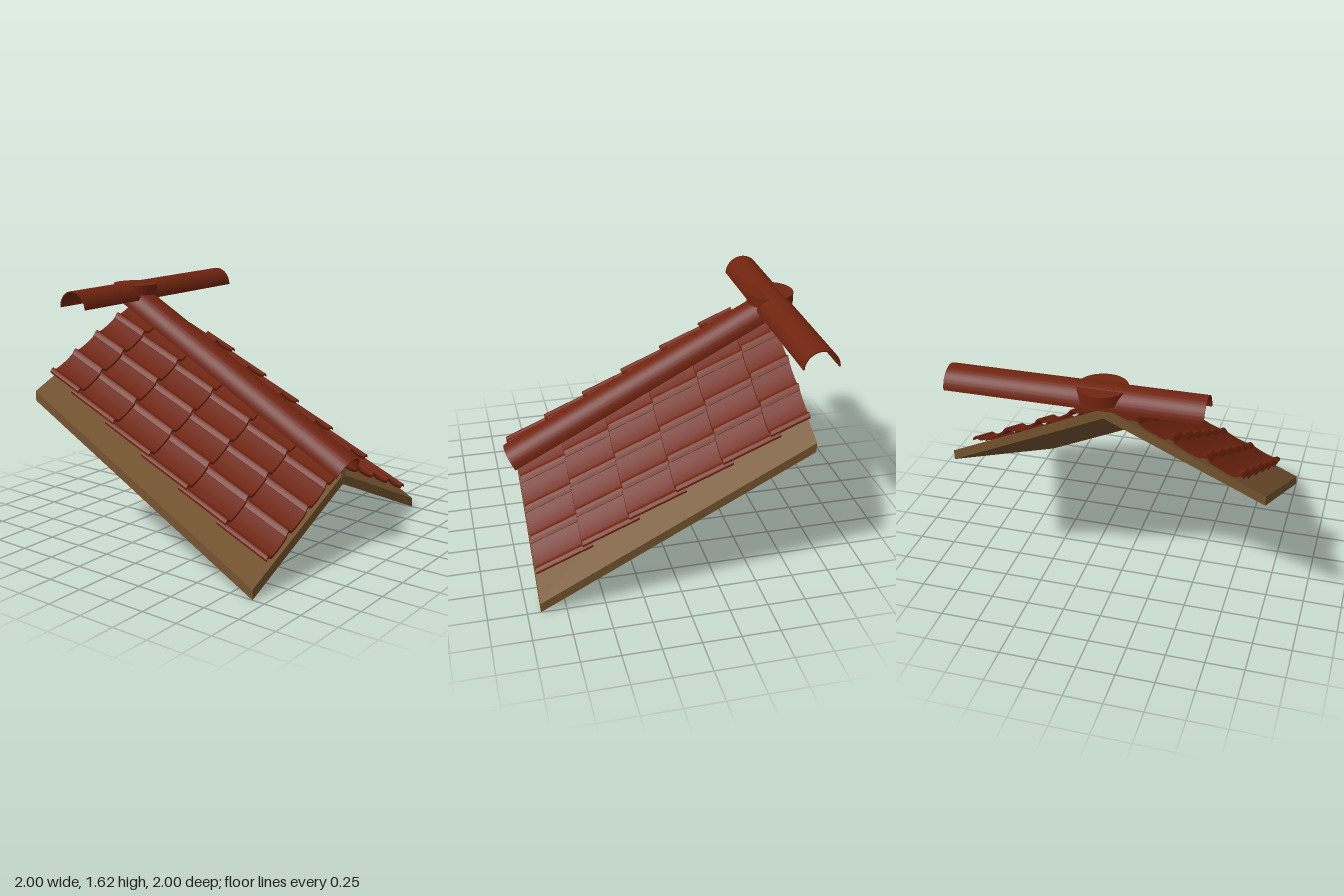
import * as THREE from 'three';
import { toCreasedNormals } from 'three/addons/utils/BufferGeometryUtils.js';

const FRONT = 0.915, BACK = -0.845; // deck extent along z
const RISE = 0.533;                 // climb from front to back
const FALL = 0.445;                 // drop from ridge to eaves
const PEAK = 0.51;                  // deck top at the front of the ridge

const tileRed = new THREE.MeshStandardMaterial({ color: 0x70240f });
tileRed.name = 'tileRed';
tileRed.side = THREE.DoubleSide;
const deckWood = new THREE.MeshStandardMaterial({ color: 0x75542f });
deckWood.name = 'deckWood';
const battenWood = new THREE.MeshStandardMaterial({ color: 0x7a6844 });
battenWood.name = 'battenWood';

function add(parent, name, geometry, material) {
  const mesh = new THREE.Mesh(geometry, material);
  mesh.name = name;
  parent.add(mesh);
  return mesh;
}

// Extrude a section backwards from zFront, climbing at the given slope
function slopedExtrude(points, zFront, length, slope) {
  const shape = new THREE.Shape(points.map(([x, y]) => new THREE.Vector2(x, y)));
  const geo = new THREE.ExtrudeGeometry(shape, { depth: length, bevelEnabled: false });
  geo.translate(0, 0, zFront - length);
  const p = geo.attributes.position;
  for (let i = 0; i < p.count; i++) p.setY(i, p.getY(i) + slope * (zFront - p.getZ(i)));
  return toCreasedNormals(geo, 0.6);
}

// Thin half-round shell, extruded along local -z
function halfPipe(radius, wall, length) {
  const shape = new THREE.Shape();
  shape.absarc(0, 0, radius, 0, Math.PI, false);
  shape.absarc(0, 0, radius - wall, Math.PI, 0, true);
  const geo = new THREE.ExtrudeGeometry(shape, { depth: length, bevelEnabled: false, curveSegments: 24 });
  geo.translate(0, 0, -length);
  return toCreasedNormals(geo, 0.6);
}

// Closed section of one tile: shallow pan with a roll at its outer edge
const TILE_W = 0.215, TILE_T = 0.015;
function tileSection(column, side) {
  const width = TILE_W + (column < 3 ? 0.012 : 0);
  const top = [], bottom = [], steps = 22;
  for (let i = 0; i <= steps; i++) {
    const u = (i / steps) * width;
    const d = (u - (TILE_W - 0.018)) / 0.036;
    const roll = Math.abs(d) < 1 ? 0.022 * Math.cos(d * Math.PI / 2) ** 2 : 0;
    const pan = -0.011 * Math.max(0, Math.sin(Math.PI * u / TILE_W));
    const x = column * TILE_W + u;
    const y = PEAK - FALL * x + 0.067 + pan + roll;
    top.push([side * x, y]);
    bottom.unshift([side * x, y - TILE_T]);
  }
  return top.concat(bottom);
}

export function createModel() {
  const roof = new THREE.Group();
  roof.name = 'roofSection';

  // Folded wooden deck
  const deck = [[-1, 0], [0, 0.445], [1, 0], [1, 0.065], [0, PEAK], [-1, 0.065]];
  add(roof, 'deck', slopedExtrude(deck, FRONT, FRONT - BACK, RISE), deckWood);

  // Ridge batten under the cap
  const batten = [[-0.027, 0.49], [0.027, 0.49], [0.027, 0.61], [-0.027, 0.61]];
  add(roof, 'ridgeBatten', slopedExtrude(batten, FRONT, FRONT - BACK, RISE), battenWood);

  // Overlapping tile courses on both slopes
  const PITCH = 0.302, TILE_L = 0.37;
  for (const side of [1, -1]) {
    const slope = new THREE.Group();
    slope.name = side > 0 ? 'leftTiles' : 'rightTiles';
    roof.add(slope);
    for (let row = 0; row < 6; row++) {
      const zFront = FRONT - row * PITCH;
      const length = Math.min(TILE_L, zFront - BACK);
      for (let column = 0; column < 4; column++) {
        const geo = slopedExtrude(tileSection(column, side), zFront, length, 0.42);
        add(slope, 'tile', geo, tileRed).position.y = row * PITCH * RISE;
      }
    }
  }

  // Half-round ridge cap with screws along its crest
  const ridge = new THREE.Group();
  ridge.name = 'ridge';
  ridge.position.set(0, 0.517, 0.94);
  ridge.rotation.x = Math.atan(RISE);
  roof.add(ridge);
  add(ridge, 'ridgeCap', halfPipe(0.127, 0.008, 2.07), tileRed);
  for (let i = 0; i < 6; i++) {
    const screw = add(ridge, 'screw', new THREE.CylinderGeometry(0.007, 0.007, 0.008, 10), tileRed);
    screw.position.set(0, 0.128, -0.147 - i * 0.34);
  }

  // Half-round cap crossing the top end
  const cross = add(roof, 'crossCap', halfPipe(0.118, 0.008, 1.6), tileRed);
  cross.rotation.y = -Math.PI / 2;
  cross.position.set(-0.633 + 1.6, 1.5, -0.847);
  cross.geometry.translate(0, 0, 1.6);
  cross.position.x -= 0;

  // Round junction disc
  const disc = add(roof, 'junctionDisc', new THREE.CylinderGeometry(0.155, 0.155, 0.07, 48), tileRed);
  disc.position.set(0, 1.57, -0.845);

  return roof;
}
